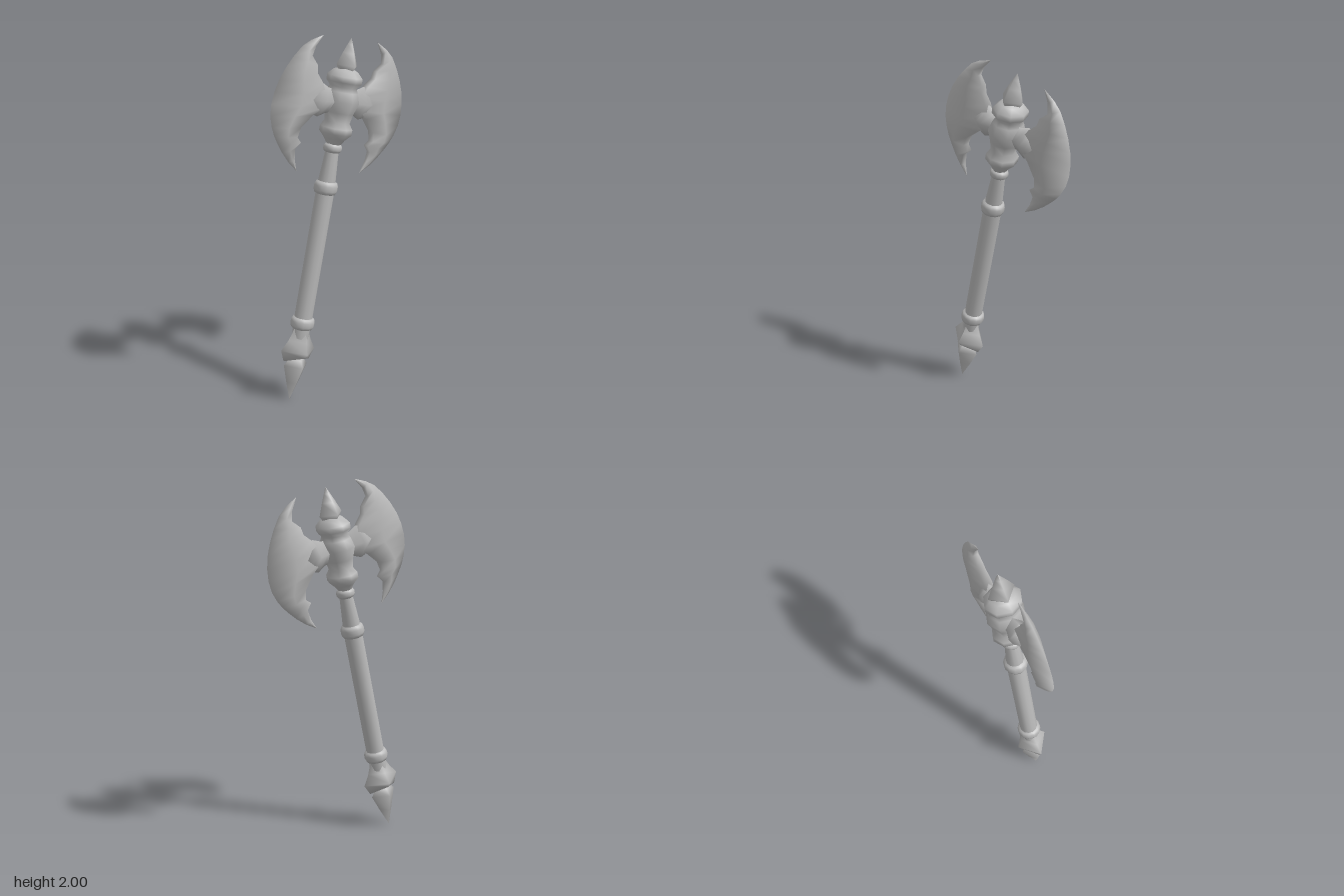
import * as THREE from 'three';

const steel = new THREE.MeshStandardMaterial({ color: 0xb8b8b8 });
steel.name = 'grey steel';

// Turned part along the axis: profile of [radius, height], few sides, optionally flattened in z
function turned(name, profile, sides, depth = 1) {
  const geo = new THREE.LatheGeometry(profile.map(([r, y]) => new THREE.Vector2(r, y)), sides);
  geo.scale(1, 1, depth);
  const mesh = new THREE.Mesh(geo, steel);
  mesh.name = name;
  return mesh;
}

// Double-curved blade: matching [x, y] points on the inner and the cutting edge, tip to tip
const INNER = [
  [0.178, 1.995], [0.221, 1.936], [0.237, 1.885], [0.197, 1.842], [0.19, 1.8],
  [0.15, 1.757], [0.12, 1.7], [0.12, 1.63], [0.18, 1.588], [0.241, 1.519],
  [0.252, 1.467], [0.224, 1.441], [0.25, 1.407], [0.239, 1.351], [0.21, 1.288],
];
const OUTER = [
  [0.178, 1.995], [0.25, 1.962], [0.299, 1.926], [0.342, 1.87], [0.378, 1.811],
  [0.408, 1.745], [0.424, 1.685], [0.431, 1.62], [0.425, 1.56], [0.406, 1.505],
  [0.384, 1.464], [0.36, 1.43], [0.319, 1.38], [0.27, 1.332], [0.21, 1.288],
];
// Cross-section: [share of the way to the cutting edge, share of the thickness]
const SECTION = [[1, 0], [0.5, 1], [0, 0.6], [0, -0.6], [0.5, -1]];

function bladeGeometry() {
  const pos = [], index = [];
  const n = SECTION.length, last = INNER.length - 1;
  INNER.forEach(([ix, iy], i) => {
    const [ox, oy] = OUTER[i];
    const half = 0.04 * Math.pow(Math.sin(Math.PI * i / last), 0.7);
    SECTION.forEach(([s, t]) => pos.push(ix + (ox - ix) * s, iy + (oy - iy) * s, half * t));
  });
  for (let i = 0; i < last; i++) {
    for (let j = 0; j < n; j++) {
      const a = i * n + j, b = i * n + (j + 1) % n;
      index.push(a, b, b + n, a, b + n, a + n);
    }
  }
  const geo = new THREE.BufferGeometry();
  geo.setAttribute('position', new THREE.Float32BufferAttribute(pos, 3));
  geo.setIndex(index);
  geo.computeVertexNormals();
  return geo;
}

export function createModel() {
  const model = new THREE.Group();
  model.name = 'doubleAxe';
  const axe = new THREE.Group();
  axe.name = 'tiltedAxe';
  axe.position.set(-0.35, 0.008, 0);
  axe.rotation.z = -0.214;
  model.add(axe);

  // Spikes at both ends
  axe.add(turned('pommelSpike', [
    [0, -0.008], [0.042, 0.1], [0.077, 0.2], [0.05, 0.235], [0, 0.25],
  ], 4, 0.92));
  axe.add(turned('topSpike', [
    [0, 1.8], [0.045, 1.82], [0.068, 1.857], [0.04, 1.92], [0.018, 1.965], [0, 2.0],
  ], 4, 1.08));

  // Pommel with claws hanging down at the two sides
  const pommel = turned('pommel', [
    [0.04, 0.25], [0.085, 0.24], [0.112, 0.288], [0.075, 0.345], [0.055, 0.39], [0.05, 0.41],
  ], 4, 0.82);
  const p = pommel.geometry.attributes.position;
  for (let i = 0; i < p.count; i++) {
    if (p.getY(i) < 0.26) p.setY(i, p.getY(i) + 0.02 - 0.4 * Math.abs(p.getX(i)));
  }
  pommel.geometry.computeVertexNormals();
  axe.add(pommel);

  // Shaft, narrowing below the head
  axe.add(turned('shaft', [
    [0.045, 0.36], [0.05, 0.45], [0.05, 1.2], [0.036, 1.4], [0.036, 1.5],
  ], 12));

  // Collars around the shaft: [name, middle height, radius, half height]
  [
    ['lowerCollar', 0.445, 0.066, 0.04],
    ['middleCollar', 1.205, 0.064, 0.042],
    ['neckCollar', 1.42, 0.05, 0.025],
  ].forEach(([name, y, r, h]) => axe.add(turned(name, [
    [0.034, y - h], [r * 0.9, y - h * 0.7], [r, y - h * 0.3],
    [r, y + h * 0.3], [r * 0.9, y + h * 0.7], [0.034, y + h],
  ], 12)));

  // Head core with a ring below and above the socket
  axe.add(turned('headCore', [
    [0.036, 1.44], [0.055, 1.47], [0.083, 1.5], [0.083, 1.53], [0.064, 1.56],
    [0.074, 1.61], [0.094, 1.67], [0.08, 1.72], [0.068, 1.745],
    [0.09, 1.77], [0.09, 1.8], [0.062, 1.83], [0.03, 1.845],
  ], 8, 1.1));

  // Blades and their diamond-shaped sockets, one on each side
  const blade = bladeGeometry();
  ['left', 'right'].forEach((side, i) => {
    const half = new THREE.Group();
    half.name = side + 'BladeSide';
    half.rotation.y = i * Math.PI;
    const bladeMesh = new THREE.Mesh(blade, steel);
    bladeMesh.name = side + 'Blade';
    const socket = turned(side + 'Socket', [
      [0.06, 0.03], [0.066, 0.09], [0.088, 0.135], [0.08, 0.165], [0.045, 0.2], [0, 0.22],
    ], 4, 0.72);
    socket.rotation.z = -Math.PI / 2;
    socket.position.y = 1.667;
    half.add(bladeMesh, socket);
    axe.add(half);
  });

  return model;
}
